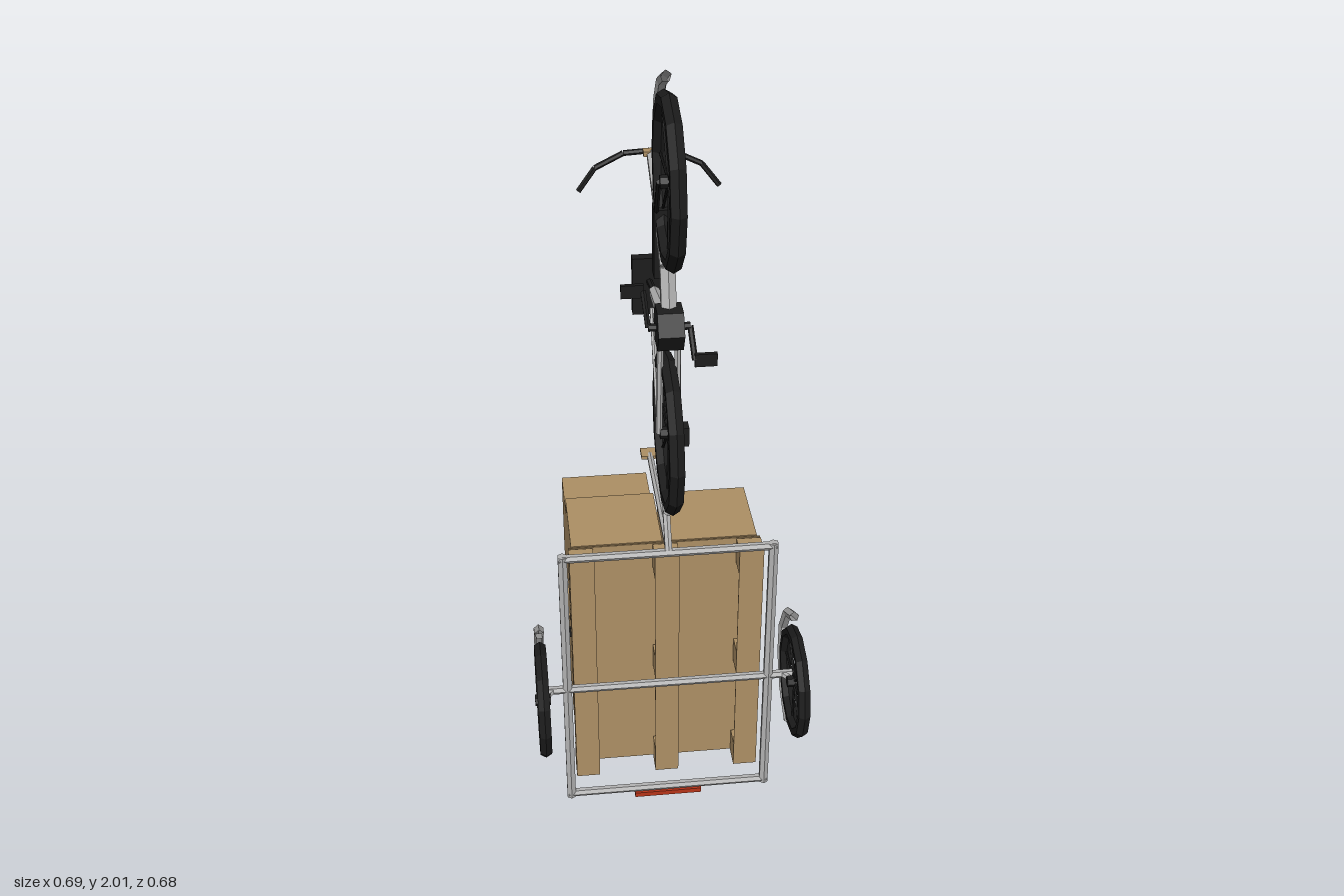
import * as THREE from 'three';

const mat = (name, color, extra = {}) => {
  const m = new THREE.MeshStandardMaterial({ color, flatShading: true, ...extra });
  m.name = name;
  return m;
};

export function createModel() {
  const black = mat('black rubber', 0x1c1c1c);
  const silver = mat('silver metal', 0xb4b4b4);
  const tan = mat('cardboard tan', 0xae9065);
  const red = mat('reflector red', 0xb83418);
  const root = new THREE.Group();
  root.name = 'bicycleWithCargoTrailer';

  const add = (name, geo, material, pos = [0, 0, 0], parent = root) => {
    const m = new THREE.Mesh(geo, material);
    m.name = name;
    m.position.set(...pos);
    parent.add(m);
    return m;
  };
  // Box from minimum and maximum corners
  const box = (name, a, b, material) => add(name,
    new THREE.BoxGeometry(b[0] - a[0], b[1] - a[1], b[2] - a[2]), material,
    a.map((v, i) => (v + b[i]) / 2));
  // Straight rod between two points
  const rod = (name, a, b, r, material, r2 = r, parent = root) => {
    const p = new THREE.Vector3(...a), q = new THREE.Vector3(...b);
    const d = q.clone().sub(p);
    const m = add(name, new THREE.CylinderGeometry(r2, r, d.length(), 6), material,
      p.clone().add(q).multiplyScalar(0.5).toArray(), parent);
    m.quaternion.setFromUnitVectors(new THREE.Vector3(0, 1, 0), d.normalize());
    return m;
  };
  const bentRod = (name, pts, r, material) => {
    for (let i = 0; i + 1 < pts.length; i++) rod(name, pts[i], pts[i + 1], r, material);
  };

  // Wheel: faceted tyre, hub and eight spokes, axle along x
  const wheel = (name, pos, radius, tube) => {
    const g = new THREE.Group();
    g.name = name;
    g.position.set(...pos);
    root.add(g);
    add('tyre', new THREE.TorusGeometry(radius - tube, tube, 6, 12).rotateY(Math.PI / 2), black, [0, 0, 0], g);
    add('hub', new THREE.CylinderGeometry(0.015, 0.015, 0.04, 6).rotateZ(Math.PI / 2), black, [0, 0, 0], g);
    for (let i = 0; i < 8; i++) {
      const t = i * Math.PI / 4;
      rod('spoke', [0, 0, 0], [0, Math.sin(t) * (radius - tube), Math.cos(t) * (radius - tube)], 0.0035, black, 0.0035, g);
    }
  };
  // Mudguard: part of a ring, angles in degrees from -z towards +y
  const fender = (name, pos, radius, from, to) => {
    const arc = THREE.MathUtils.degToRad(to - from);
    const geo = new THREE.TorusGeometry(radius, 0.013, 5, 5, arc)
      .rotateZ(THREE.MathUtils.degToRad(from)).rotateY(Math.PI / 2);
    add(name, geo, fenderSilver, pos);
  };
  const fenderSilver = mat('mudguard silver', 0xb4b4b4, { side: THREE.DoubleSide });

  // Bicycle wheels and mudguards
  wheel('frontWheel', [0, 1.78, 0.14], 0.198, 0.02);
  wheel('rearWheel', [0, 1.145, 0.14], 0.198, 0.02);
  fender('frontFender', [0, 1.78, 0.14], 0.222, -34, 75);
  fender('rearFender', [0, 1.145, 0.14], 0.222, -92, 15);

  // Bicycle frame
  bentRod('downTube', [[0, 1.43, 0.155], [0, 1.565, 0.115], [0, 1.625, 0.04], [0, 1.645, 0.0]], 0.02, silver);
  rod('steeringColumn', [0, 1.64, 0.02], [0, 1.7, -0.21], 0.019, silver, 0.013);
  rod('seatTube', [0, 1.425, 0.13], [0, 1.365, -0.16], 0.02, silver, 0.014);
  rod('seatPost', [0, 1.366, -0.155], [0, 1.335, -0.275], 0.008, black);
  box('saddle', [-0.043, 1.245, -0.297], [0.043, 1.4, -0.27], black);
  box('battery', [-0.022, 1.5, 0.0], [0.022, 1.67, 0.044], black);
  for (const s of [-1, 1]) {
    rod('fork', [s * 0.015, 1.645, 0.02], [s * 0.022, 1.78, 0.14], 0.006, black);
    rod('chainStay', [s * 0.02, 1.43, 0.155], [s * 0.022, 1.145, 0.14], 0.008, silver);
    rod('seatStay', [s * 0.022, 1.145, 0.14], [s * 0.012, 1.35, -0.1], 0.006, silver);
  }

  // Handlebar
  rod('stem', [0, 1.7, -0.2], [0, 1.672, -0.292], 0.009, black);
  box('lamp', [-0.02, 1.698, -0.225], [0.02, 1.71, -0.2], tan);
  for (const s of [-1, 1]) {
    bentRod('handlebar', [[0, 1.675, -0.293], [s * 0.06, 1.672, -0.292],
      [s * 0.13, 1.64, -0.285], [s * 0.172, 1.588, -0.27]], 0.007, black);
  }

  // Crank, arms and pedals
  add('crankMotor', new THREE.CylinderGeometry(0.054, 0.054, 0.06, 6).rotateZ(Math.PI / 2), black, [0, 1.435, 0.155]);
  for (const [s, y, z] of [[-1, 1.51, 0.118], [1, 1.365, 0.19]]) {
    rod('crankAxle', [0, 1.435, 0.155], [s * 0.048, 1.435, 0.155], 0.009, black);
    rod('crankArm', [s * 0.048, 1.435, 0.155], [s * 0.055, y, z], 0.007, black);
    box('pedal', [s * 0.08 - 0.026, y - 0.016, z - 0.005], [s * 0.08 + 0.026, y + 0.016, z + 0.005], black);
  }

  // Hitch and tow bar
  box('hitchBlock', [0.02, 1.095, 0.095], [0.052, 1.145, 0.128], black);
  bentRod('towBar', [[0.033, 1.12, 0.11], [0.015, 0.935, 0.065], [0, 0.925, 0.085], [0, 0.812, 0.155]], 0.01, silver);

  // Trailer frame
  for (const s of [-1, 1]) rod('sideRail', [s * 0.262, 0.015, 0.155], [s * 0.262, 0.815, 0.155], 0.013, silver);
  for (const y of [0.025, 0.806]) rod('endRail', [-0.27, y, 0.155], [0.27, y, 0.155], 0.011, silver);
  rod('axle', [-0.33, 0.39, 0.155], [0.33, 0.39, 0.155], 0.011, silver);
  rod('handleBar', [0, 0.815, 0.155], [0, 0.815, -0.28], 0.009, silver);
  box('handlePlate', [-0.024, 0.812, -0.305], [0.024, 0.821, -0.262], tan);
  box('reflector', [-0.09, 0, 0.138], [0.09, 0.014, 0.166], red);

  // Trailer wheels
  for (const s of [-1, 1]) {
    wheel('trailerWheel', [s * 0.327, 0.39, 0.188], 0.15, 0.017);
    fender('trailerFender', [s * 0.327, 0.39, 0.188], 0.181, -75, 75);
    rod('wheelBracket', [s * 0.327, 0.39, 0.188], [s * 0.3, 0.39, 0.155], 0.009, silver);
  }

  // Pallet
  box('palletDeck', [-0.243, 0.06, 0.066], [0.243, 0.775, 0.07], tan);
  for (const x of [-0.213, 0, 0.213]) {
    box('palletSkid', [x - 0.031, 0.06, 0.127], [x + 0.031, 0.775, 0.131], tan);
    for (const [y0, y1] of [[0.06, 0.132], [0.383, 0.452], [0.705, 0.775]]) {
      box('palletBlock', [x - 0.031, y0, 0.074], [x + 0.031, y1, 0.127], tan);
    }
  }

  // Inner layer of large cartons, then the staggered outer layer
  for (const x of [-0.236, 0.005]) {
    for (const [y0, y1] of [[0.06, 0.411], [0.42, 0.775]]) {
      box('largeCarton', [x, y0, -0.155], [x + 0.231, y1, 0.062], tan);
    }
  }
  for (const [x, y] of [[0.005, 0.295], [-0.236, 0.48], [-0.236, 0.115]]) {
    box('smallCarton', [x, y, -0.337], [x + 0.231, y + 0.24, -0.155], tan);
  }
  box('cartonMark', [0.236, 0.4, -0.245], [0.243, 0.43, -0.236], black);
  box('cartonMark', [-0.243, 0.4, -0.052], [-0.236, 0.43, -0.044], black);

  return root;
}
